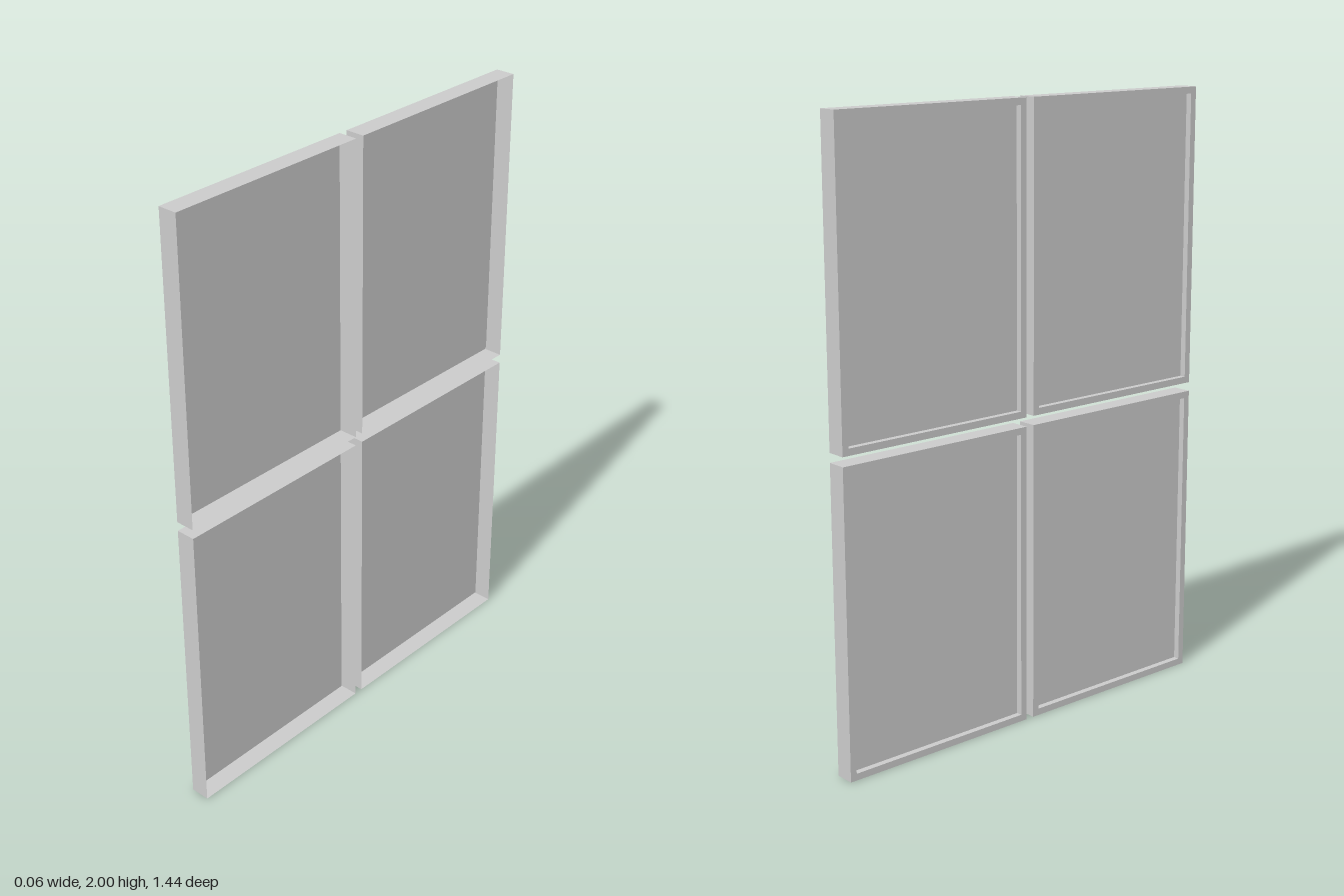
import * as THREE from 'three';

const W = 0.703, H = 0.985;          // panel size along z and y
const GAP = 0.03;                    // gap between panels
const HALF = 0.032;                  // half depth along x
const RIM = 0.022, STEP = 0.02;      // rim width and depth of the recess behind it

// Thin folded tray: open on +x, with a rim and a shallow recess on -x
function trayGeometry() {
  const ring = (x, inset) => {
    const y = H / 2 - inset, z = W / 2 - inset;
    return [[x, -y, -z], [x, y, -z], [x, y, z], [x, -y, z]];
  };
  const rings = [ring(HALF, 0), ring(-HALF, 0), ring(-HALF, RIM), ring(-HALF + STEP, RIM)];
  const pos = [];
  const quad = (a, b, c, d) => pos.push(...a, ...b, ...c, ...a, ...c, ...d);
  for (let r = 0; r < rings.length - 1; r++) {
    for (let i = 0; i < 4; i++) {
      const j = (i + 1) % 4, a = rings[r], b = rings[r + 1];
      quad(a[i], b[i], b[j], a[j]);
    }
  }
  // Centre sheet
  const c = rings[rings.length - 1];
  quad(c[0], c[3], c[2], c[1]);
  const g = new THREE.BufferGeometry();
  g.setAttribute('position', new THREE.Float32BufferAttribute(pos, 3));
  g.computeVertexNormals();
  return g;
}

export function createModel() {
  const group = new THREE.Group();
  group.name = 'panelWall';
  const material = new THREE.MeshStandardMaterial({
    color: 0xcccccc, flatShading: true, side: THREE.DoubleSide,
  });
  const geometry = trayGeometry();

  // Two by two grid of panels
  for (const [row, sy] of [['lower', -1], ['upper', 1]]) {
    for (const [col, sz] of [['Front', 1], ['Back', -1]]) {
      const panel = new THREE.Mesh(geometry, material);
      panel.name = `${row}${col}Panel`;
      panel.position.set(0, 1 + sy * (H + GAP) / 2, sz * (W + GAP) / 2);
      group.add(panel);
    }
  }
  return group;
}
